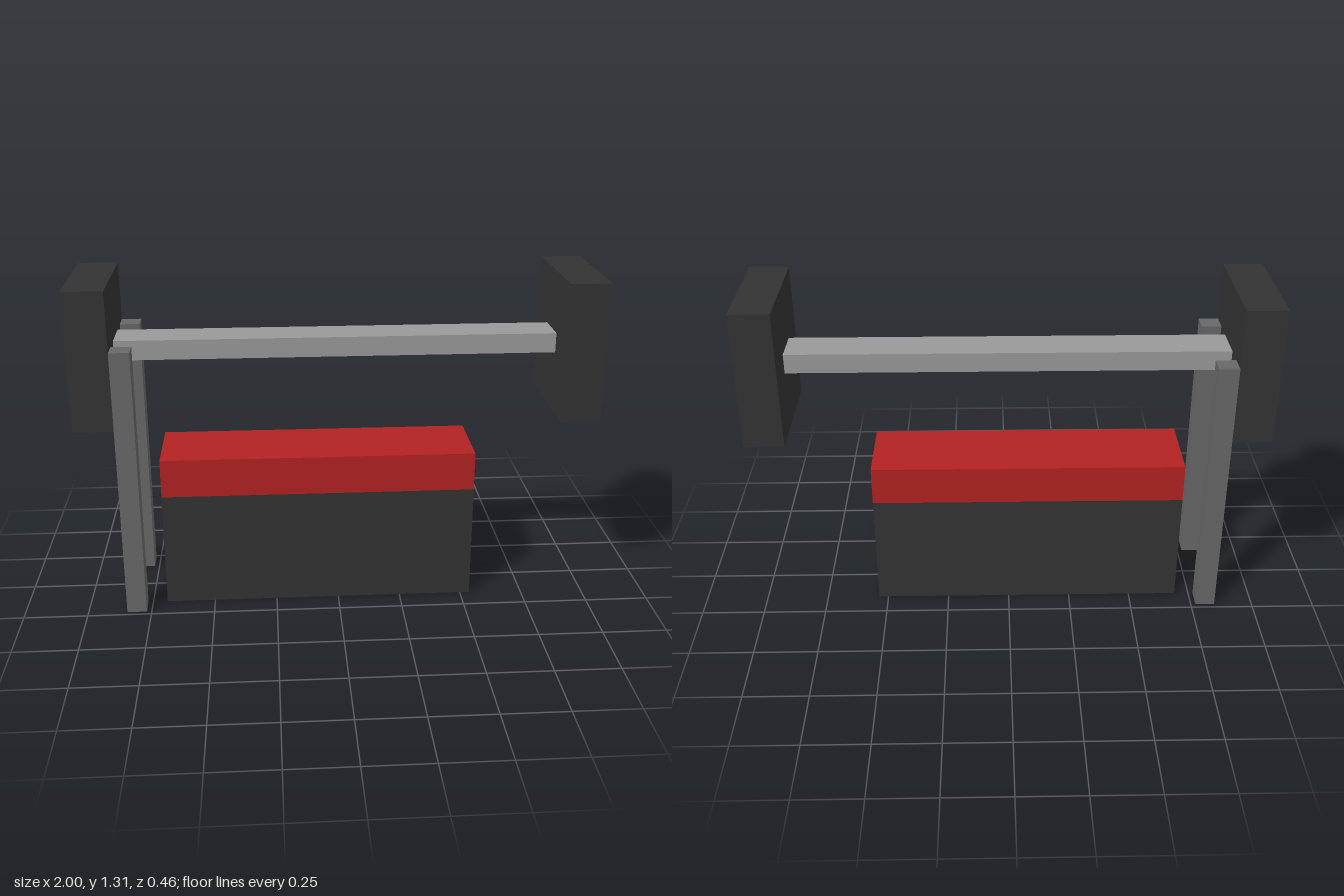
import * as THREE from 'three';

const U = 2 / 26; // modular grid unit: the whole model is 26 units long

function material(name, color) {
  const m = new THREE.MeshStandardMaterial({ color });
  m.name = name;
  return m;
}

export function createModel() {
  const group = new THREE.Group();
  group.name = 'benchPress';

  const charcoal = material('charcoal', 0x333333);
  const red = material('red', 0xb22222);
  const steel = material('steel', 0x999999);
  const darkSteel = material('darkSteel', 0x686868);

  // Box given by its size, centre x, base height and centre z, in grid units
  function box(name, mat, [w, h, d], x, base, z) {
    const mesh = new THREE.Mesh(new THREE.BoxGeometry(w * U, h * U, d * U), mat);
    mesh.position.set(x * U, (base + h / 2) * U, z * U);
    mesh.name = name;
    group.add(mesh);
  }

  // Bench: solid base with a padded top
  box('benchBase', charcoal, [16, 6, 4], -1, 0, 0);
  box('benchPad', red, [16, 2, 4], -1, 6, 0);

  // Barbell resting between the weights
  box('bar', steel, [22, 1, 2], 0, 13, 0);
  for (const side of [-1, 1]) {
    box(side < 0 ? 'rightWeight' : 'leftWeight', charcoal, [2, 7, 6], side * 12, 10, 0);
  }

  // Rack posts, front and back, at the head end
  for (const side of [-1, 1]) {
    box(side < 0 ? 'backPost' : 'frontPost', darkSteel, [1, 14, 1], -10.5, 0, side * 2.5);
  }

  return group;
}
